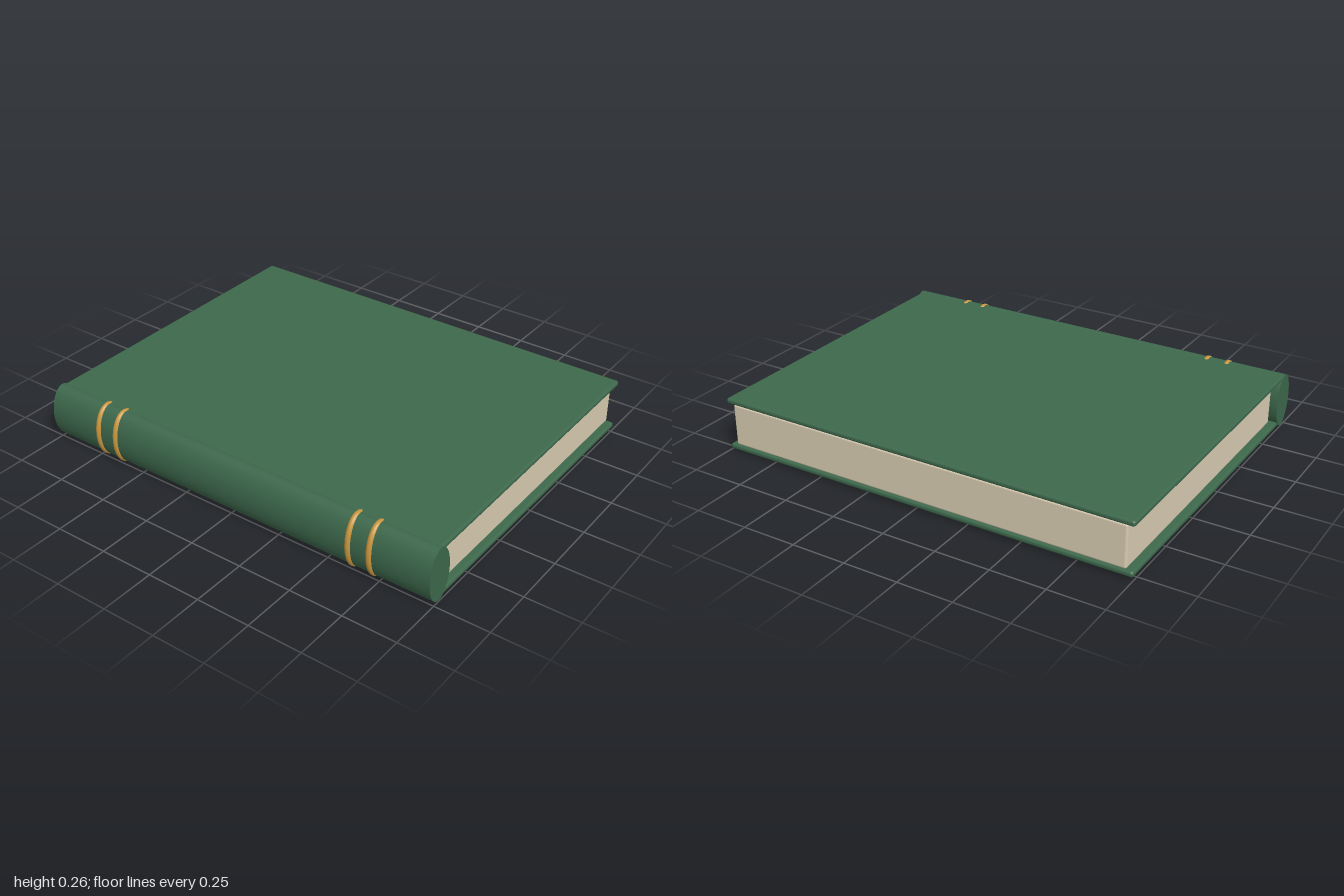
import * as THREE from 'three';
import { RoundedBoxGeometry } from 'three/addons/geometries/RoundedBoxGeometry.js';

const material = (name, color) => {
  const m = new THREE.MeshStandardMaterial({ color });
  m.name = name;
  return m;
};

export function createModel() {
  const green = material('green cloth', 0x3d684c);
  const paper = material('cream paper', 0xd8ccb2);
  const gold = material('gold', 0xc8963e);
  const book = new THREE.Group();
  book.name = 'book';

  const add = (name, geometry, mat, x, y, z) => {
    const mesh = new THREE.Mesh(geometry, mat);
    mesh.name = name;
    mesh.position.set(x, y, z);
    book.add(mesh);
    return mesh;
  };

  const midY = 0.131, spineX = -0.715;

  // Front and back boards with softened edges
  const board = new RoundedBoxGeometry(1.493, 0.026, 1.994, 3, 0.011);
  add('frontCover', board, green, 0.0355, midY + 0.111, 0);
  add('backCover', board, green, 0.0355, midY - 0.111, 0);

  // Page block
  add('pages', new RoundedBoxGeometry(1.425, 0.197, 1.93, 3, 0.01), paper, 0.0625, midY, 0);

  // Oval spine running the full height of the book
  const spine = new THREE.CylinderGeometry(1, 1, 2, 48);
  spine.rotateX(Math.PI / 2);
  spine.scale(0.07, 0.126, 1);
  add('spine', spine, green, spineX, midY, 0);

  // Raised oval bands, two near each end of the spine
  const path = new THREE.CatmullRomCurve3(
    Array.from({ length: 32 }, (_, i) => {
      const a = (i / 32) * Math.PI * 2;
      return new THREE.Vector3(0.066 * Math.cos(a), 0.117 * Math.sin(a), 0);
    }), true);
  const band = new THREE.TubeGeometry(path, 64, 0.014, 12, true);
  for (const z of [-0.72, -0.62, 0.62, 0.72]) add('spineBand', band, gold, spineX, midY, z);

  return book;
}
